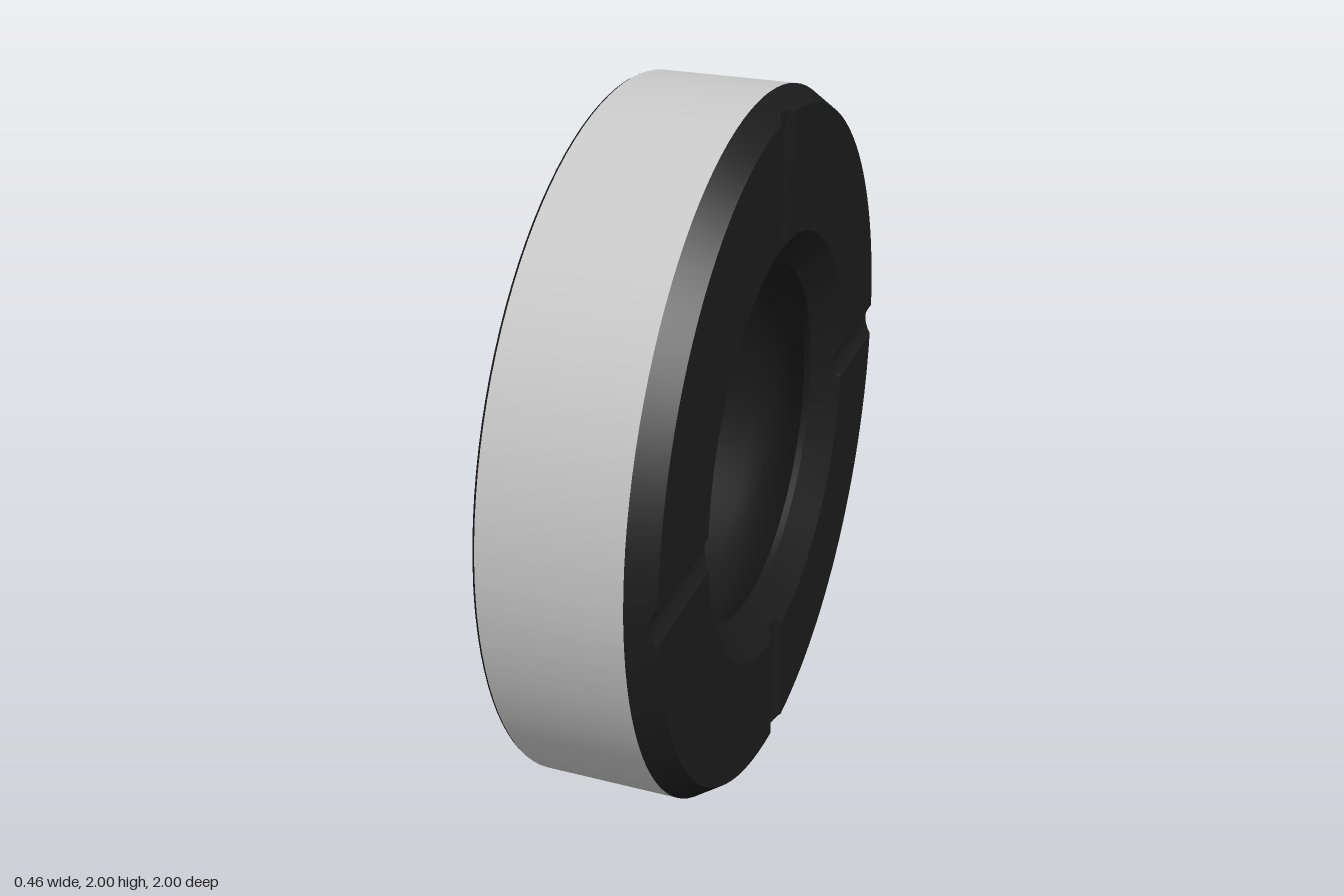
import * as THREE from 'three';
import { toCreasedNormals } from 'three/addons/utils/BufferGeometryUtils.js';

const GROOVE_HALF = 0.05, GROOVE_DEPTH = 0.02, FACE_X = 0.23;
const GROOVE_STEPS = 8, ARC_STEPS = 26;

// Angles around one ring: narrow parallel-sided groove strips, then plain arcs.
function ringAngles(r) {
  const angles = [];
  const edge = Math.asin(GROOVE_HALF / r);
  for (let q = 0; q < 4; q++) {
    const base = q * Math.PI / 2;
    for (let k = 0; k < GROOVE_STEPS; k++) {
      const d = GROOVE_HALF * (2 * k / GROOVE_STEPS - 1);
      angles.push({ a: base + Math.asin(d / r), d });
    }
    for (let k = 0; k < ARC_STEPS; k++) {
      angles.push({ a: base + edge + (Math.PI / 2 - 2 * edge) * k / ARC_STEPS, d: GROOVE_HALF });
    }
  }
  return angles;
}

// Height of the round-bottomed groove at distance d from its centre line.
function grooveX(d) {
  const R = (GROOVE_HALF ** 2 + GROOVE_DEPTH ** 2) / (2 * GROOVE_DEPTH);
  return FACE_X - GROOVE_DEPTH + R - Math.sqrt(R * R - d * d);
}

// Sweep a profile of [x, radius] points around the x axis, cutting the grooves.
function sweep(profile) {
  const pos = [], index = [];
  const n = 4 * (GROOVE_STEPS + ARC_STEPS);
  profile.forEach(([x, r], i) => {
    ringAngles(r).forEach(({ a, d }, j) => {
      pos.push(Math.min(x, grooveX(d)), 1 + r * Math.cos(a), r * Math.sin(a));
      if (i < profile.length - 1) {
        const p = i * n + j, q = i * n + (j + 1) % n;
        index.push(p, q, p + n, q, q + n, p + n);
      }
    });
  });
  const g = new THREE.BufferGeometry();
  g.setAttribute('position', new THREE.Float32BufferAttribute(pos, 3));
  g.setIndex(index);
  return toCreasedNormals(g, 0.5);
}

// Evenly spaced points from a to b, without b.
function steps(a, b, n) {
  return Array.from({ length: n }, (_, k) => [
    a[0] + (b[0] - a[0]) * k / n, a[1] + (b[1] - a[1]) * k / n]);
}

export function createModel() {
  const group = new THREE.Group();
  group.name = 'shaftSeal';
  const add = (name, profile, color) => {
    const mesh = new THREE.Mesh(sweep(profile), new THREE.MeshStandardMaterial({ color }));
    mesh.name = name;
    group.add(mesh);
  };

  // Rubber body: outer chamfer, grooved face, sealing lip, bore and back face
  add('rubberBody', [
    ...steps([0.16, 1], [FACE_X, 0.955], 14),
    [FACE_X, 0.955],
    ...steps([FACE_X, 0.61], [0.16, 0.51], 14),
    [0.16, 0.51], [0.14, 0.51],
    [0.09, 0.56], [0.03, 0.6], [-0.05, 0.61],
    [-0.23, 0.61], [-0.23, 0.992], [-0.228, 0.997], [-0.222, 1],
  ], 0x1a1a1a);

  // Metal band around the rim
  add('outerBand', [[-0.222, 1], [0.16, 1]], 0xcccccc);

  return group;
}
